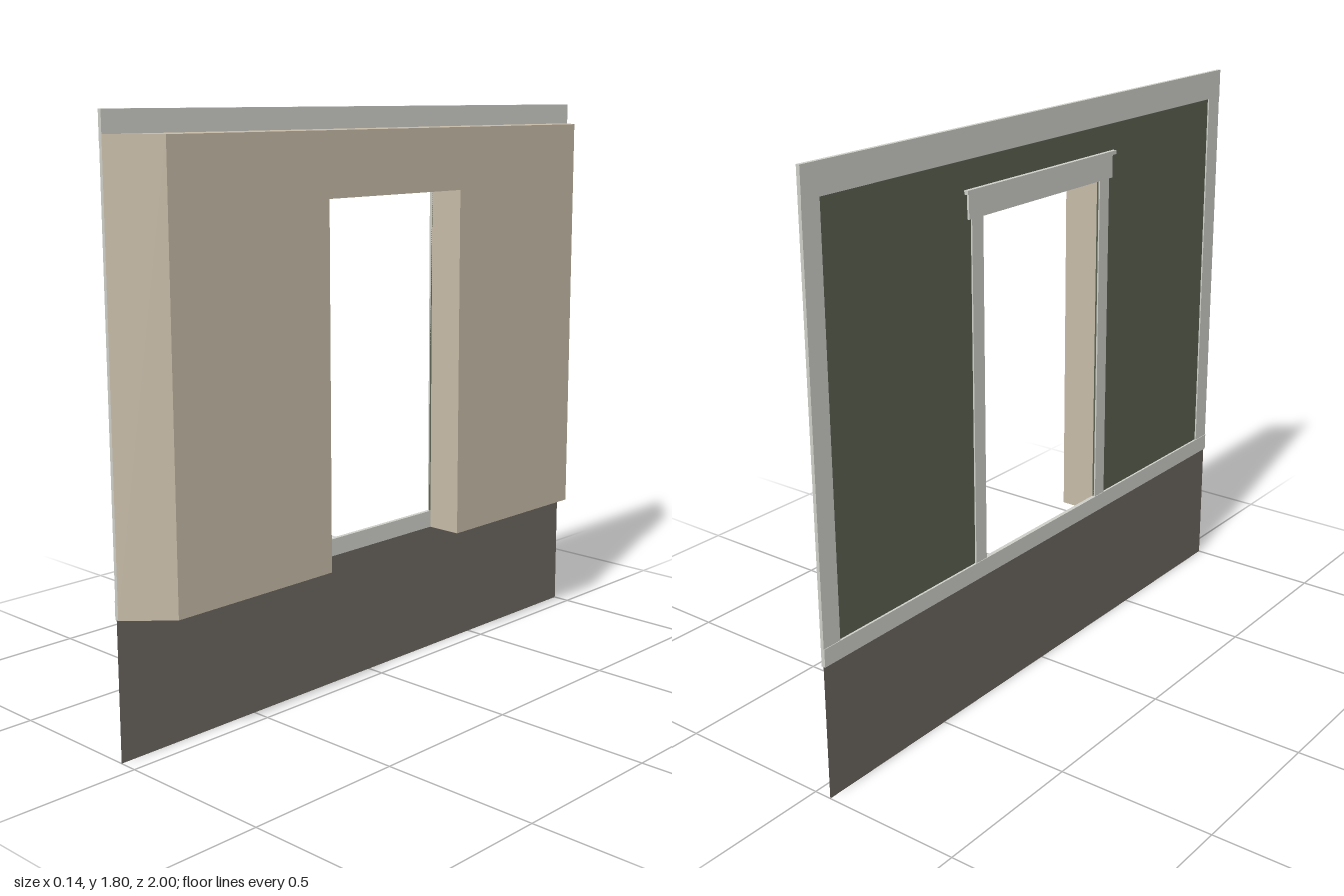
import * as THREE from 'three';

const plaster = new THREE.MeshStandardMaterial({ color: 0xc8bca9 });
plaster.name = 'plaster';
const trim = new THREE.MeshStandardMaterial({ color: 0xd0d0ca });
trim.name = 'trim';
const siding = new THREE.MeshStandardMaterial({ color: 0x5b6251 });
siding.name = 'siding';
const stone = new THREE.MeshStandardMaterial({ color: 0x6d6760, side: THREE.DoubleSide });
stone.name = 'foundation';

const FLOOR = 0.42, WALL_TOP = 1.735, TOP = 1.8, HEAD = 1.54, DOOR = 0.29;
const BACK = -0.05; // plane where the inner wall meets the outer cladding

// Wall outline with a doorway open at the bottom, extruded along x from x0 to x1
function wallWithDoorway(halfWidth, y0, y1, x0, x1) {
  const shape = new THREE.Shape([
    [-halfWidth, y0], [-DOOR, y0], [-DOOR, HEAD], [DOOR, HEAD],
    [DOOR, y0], [halfWidth, y0], [halfWidth, y1], [-halfWidth, y1],
  ].map(([a, b]) => new THREE.Vector2(a, b)));
  const g = new THREE.ExtrudeGeometry(shape, { depth: x1 - x0, bevelEnabled: false });
  g.rotateY(Math.PI / 2);
  g.translate(x0, 0, 0);
  return g;
}

export function createModel() {
  const group = new THREE.Group();
  group.name = 'doorwayWall';

  const add = (name, geometry, material) => {
    const mesh = new THREE.Mesh(geometry, material);
    mesh.name = name;
    group.add(mesh);
  };
  // Board given by its extents
  const board = (name, x0, x1, y0, y1, z0, z1) => {
    const g = new THREE.BoxGeometry(x1 - x0, y1 - y0, z1 - z0);
    g.translate((x0 + x1) / 2, (y0 + y1) / 2, (z0 + z1) / 2);
    add(name, g, trim);
  };

  // Inner wall, with its ends mitred at 45 degrees
  const inner = wallWithDoorway(1, FLOOR, WALL_TOP, BACK, 0.067);
  const p = inner.attributes.position;
  for (let i = 0; i < p.count; i++) {
    if (p.getX(i) > 0 && Math.abs(p.getZ(i)) > 0.9) p.setZ(i, Math.sign(p.getZ(i)) * 0.883);
  }
  inner.computeVertexNormals();
  add('innerWall', inner, plaster);

  // Outer cladding
  add('outerSiding', wallWithDoorway(0.94, 0.47, 1.72, -0.056, BACK), siding);

  // Rails along the top and bottom
  board('topRail', -0.062, BACK, 1.71, TOP, -1, 1);
  board('bottomRail', -0.063, BACK, FLOOR, 0.475, -1, 1);

  // Corner boards and door casings
  for (const s of [-1, 1]) {
    const post = (name, a, b) =>
      board(name, -0.061, BACK, 0.475, name === 'cornerBoard' ? 1.71 : HEAD,
        Math.min(s * a, s * b), Math.max(s * a, s * b));
    post('cornerBoard', 0.935, 1);
    post('doorCasing', DOOR, 0.34);
  }

  // Door head and its drip cap
  board('doorHead', -0.063, BACK, HEAD, 1.613, -0.355, 0.355);
  board('doorCap', -0.069, BACK, 1.613, 1.625, -0.367, 0.367);

  // Foundation skirt, a single sheet below the wall
  const skirt = new THREE.PlaneGeometry(2, FLOOR);
  skirt.rotateY(Math.PI / 2);
  skirt.translate(-0.057, FLOOR / 2, 0);
  add('foundation', skirt, stone);

  return group;
}
